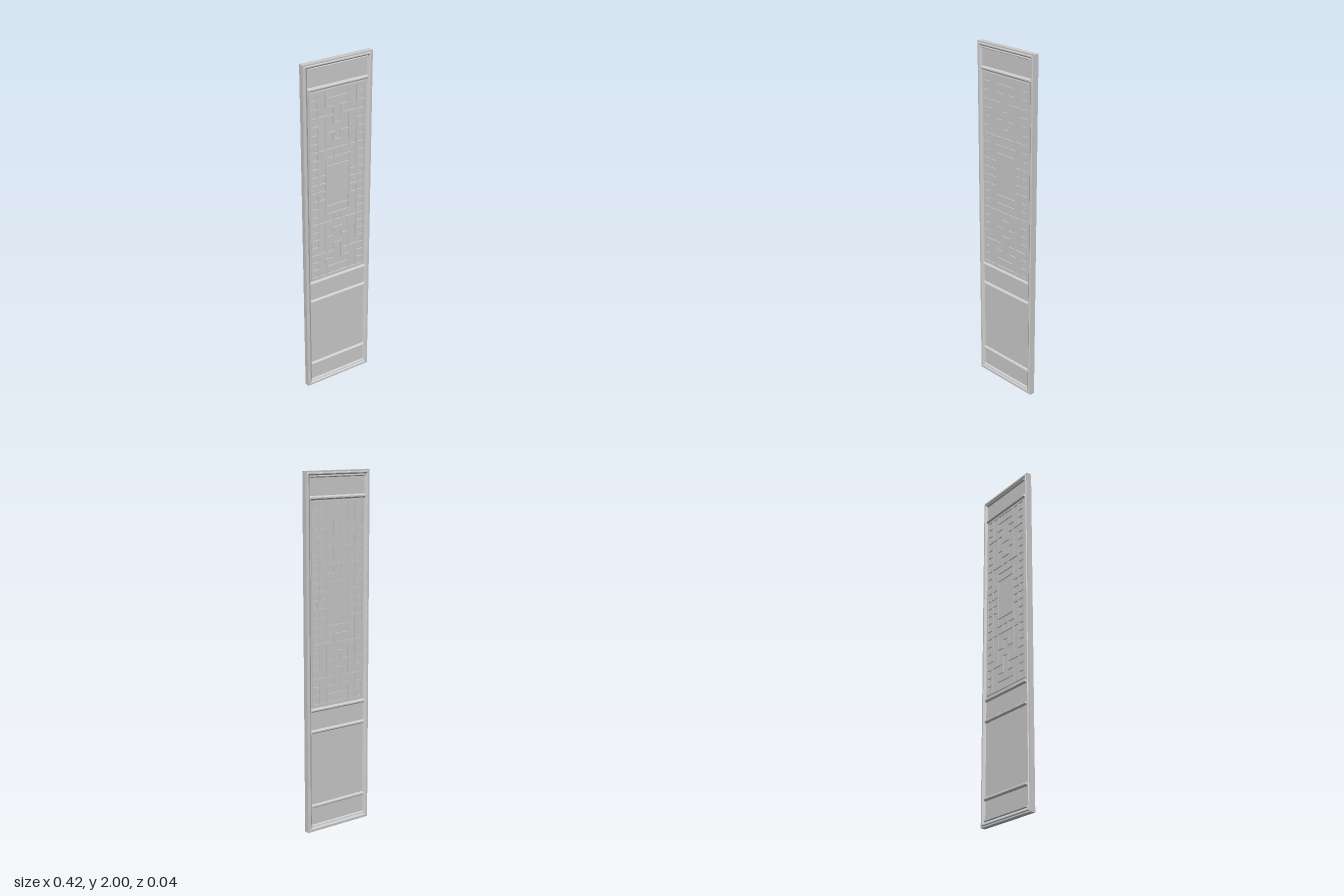
import * as THREE from 'three';

const mat = new THREE.MeshStandardMaterial({ color: 0xcccccc, flatShading: true });
const H = 2, HALF_W = 0.21, PANEL_Z = 0.008;

function add(parent, name, geometry, x = 0, y = 0, z = 0) {
  const mesh = new THREE.Mesh(geometry, mat);
  mesh.name = name;
  mesh.position.set(x, y, z);
  parent.add(mesh);
  return mesh;
}

// Mitred rectangular ring: a closed profile of [inset, z] swept round the door edge
function mitredFrame(profile) {
  const corners = [[-1, 0], [1, 0], [1, 1], [-1, 1]];
  const point = (k, i) => {
    const [sx, top] = corners[k % 4], [inset, z] = profile[i % profile.length];
    return [sx * (HALF_W - inset), top ? H - inset : inset, z];
  };
  const pos = [];
  for (let k = 0; k < 4; k++) {
    for (let i = 0; i < profile.length; i++) {
      const a = point(k, i), b = point(k + 1, i), c = point(k + 1, i + 1), d = point(k, i + 1);
      pos.push(...a, ...b, ...c, ...a, ...c, ...d);
    }
  }
  const g = new THREE.BufferGeometry();
  g.setAttribute('position', new THREE.Float32BufferAttribute(pos, 3));
  g.computeVertexNormals();
  return g;
}

// Rail moulding: a box whose two outer faces shrink to a narrow ridge
function ridge(width, height) {
  const g = new THREE.BoxGeometry(width, height, 0.038, 1, 1, 2);
  const p = g.attributes.position;
  for (let i = 0; i < p.count; i++) {
    if (Math.abs(p.getZ(i)) > 0.01) {
      p.setX(i, p.getX(i) - Math.sign(p.getX(i)) * 0.011);
      p.setY(i, p.getY(i) * 0.2);
    } else p.setZ(i, 0);
  }
  g.computeVertexNormals();
  return g;
}

// One quarter of the lattice, from top outer corner to centre; equal letters share an opening
const QUARTER = [
  'abcc', 'dbee', 'fbbe', 'gghe', 'ighh', 'jgkh',
  'lgkk', 'mnno', 'pnqq', 'rnPP', 'stPP', 'uuPP',
];
const COLS = 7, ROWS = 23, PITCH = 0.048, BAR = 0.011, BAR_Z = 0.028;
const cell = (c, r) => (c < 0 || r < 0 || c >= COLS || r >= ROWS)
  ? '#' : QUARTER[Math.min(r, ROWS - 1 - r)][Math.min(c, COLS - 1 - c)];

// Joins neighbouring bar pieces along one grid line into runs
function runs(count, hasBar, emit) {
  let start = -1;
  for (let i = 0; i <= count; i++) {
    const on = i < count && hasBar(i);
    if (on && start < 0) start = i;
    if (!on && start >= 0) { emit(start, i); start = -1; }
  }
}

function lattice() {
  const group = new THREE.Group();
  group.name = 'lattice';
  const X = c => (c - COLS / 2) * PITCH;
  const Y = r => (ROWS / 2 - r) * PITCH;
  for (let c = 0; c <= COLS; c++) {
    runs(ROWS, r => cell(c - 1, r) !== cell(c, r), (a, b) =>
      add(group, 'uprightBar', new THREE.BoxGeometry(BAR, (b - a) * PITCH + BAR, BAR_Z),
        X(c), (Y(a) + Y(b)) / 2));
  }
  for (let r = 0; r <= ROWS; r++) {
    runs(COLS, c => cell(c, r - 1) !== cell(c, r), (a, b) =>
      add(group, 'crossBar', new THREE.BoxGeometry((b - a) * PITCH + BAR, BAR, BAR_Z),
        (X(a) + X(b)) / 2, Y(r)));
  }
  // Short hooked bars beside the central panel
  for (const sx of [-1, 1]) {
    for (const sy of [-1, 1]) {
      add(group, 'hookStem', new THREE.BoxGeometry(0.008, 0.026, BAR_Z), sx * 0.132, sy * 0.011);
      add(group, 'hookTip', new THREE.BoxGeometry(0.026, 0.008, BAR_Z), sx * 0.119, sy * 0.02);
    }
  }
  return group;
}

export function createModel() {
  const door = new THREE.Group();
  door.name = 'doorPanel';

  // Moulded outer frame, the same on both faces
  const half = [[0, 0.015], [0.008, 0.015], [0.011, 0.02], [0.016, 0.02], [0.03, PANEL_Z]];
  const back = half.map(([inset, z]) => [inset, -z]).reverse();
  add(door, 'frame', mitredFrame([...half, ...back]));

  // Flat board filling the frame
  add(door, 'board', new THREE.BoxGeometry(0.38, H - 0.04, PANEL_Z * 2), 0, H / 2);

  // Cross rails
  for (const y of [0.033, 0.15, 0.585, 0.708, 1.86, 1.972]) {
    const end = y < 0.1 || y > 1.9;
    add(door, 'rail', ridge(0.378, end ? 0.022 : 0.034), 0, y);
  }

  // Decorative lattice
  const grid = lattice();
  grid.position.y = 1.287;
  door.add(grid);
  return door;
}
